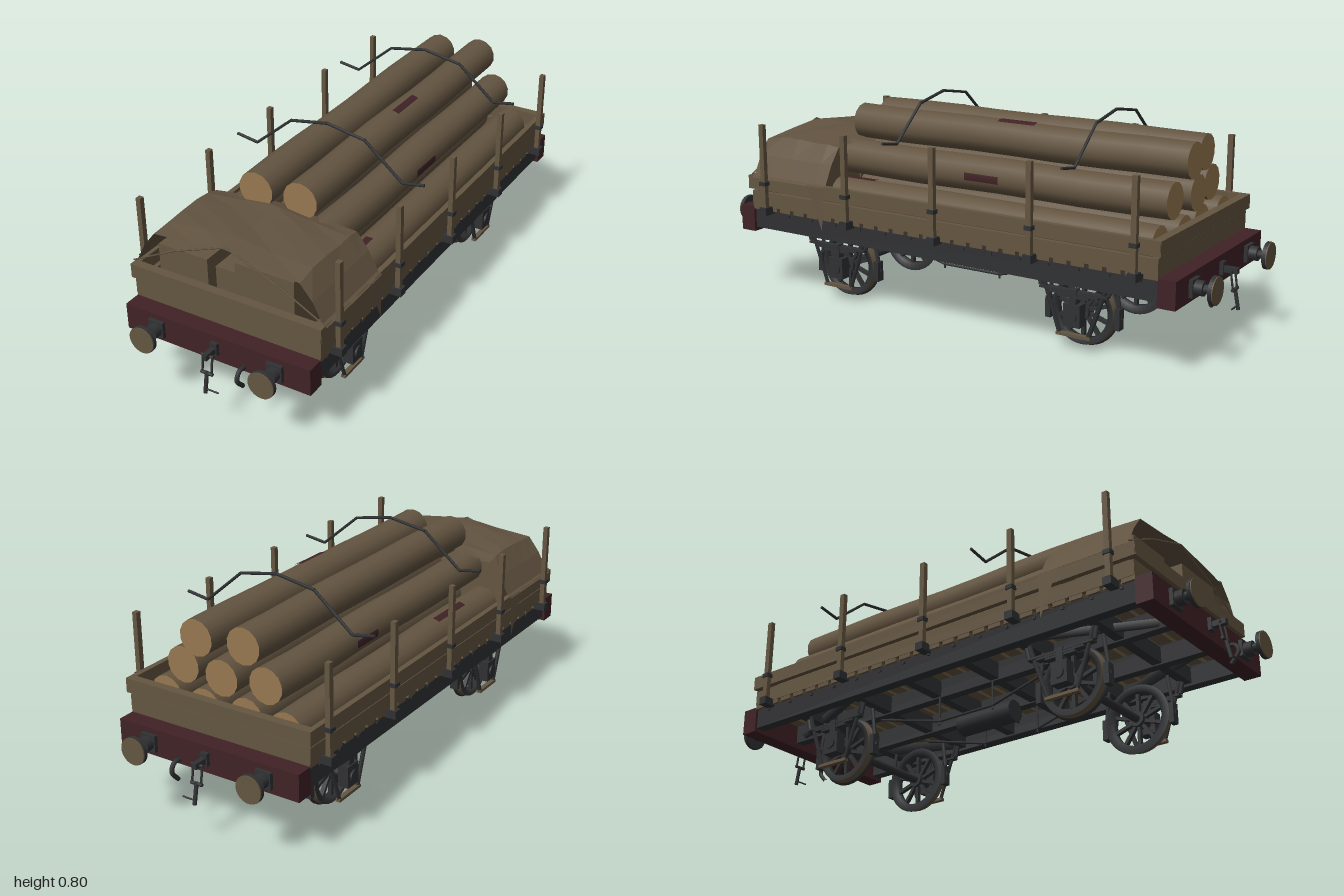
import * as THREE from 'three';

const mat = (name, color, opts = {}) => {
  const m = new THREE.MeshStandardMaterial({ color, ...opts });
  m.name = name;
  return m;
};

export function createModel() {
  const wood = mat('weatheredWood', 0x645541);
  const canvas = mat('canvas', 0x625340, { side: THREE.DoubleSide, flatShading: true });
  const iron = mat('darkIron', 0x303133);
  const red = mat('darkRed', 0x402226);
  const cut = mat('cutWood', 0x987850);
  const root = new THREE.Group();
  root.name = 'logWagon';

  const add = (name, geo, material, x = 0, y = 0, z = 0) => {
    const m = new THREE.Mesh(geo, material);
    m.name = name;
    m.position.set(x, y, z);
    root.add(m);
    return m;
  };
  // box given by its extents
  const box = (name, m, x0, x1, y0, y1, z0, z1) => add(name,
    new THREE.BoxGeometry(x1 - x0, y1 - y0, z1 - z0), m, (x0 + x1) / 2, (y0 + y1) / 2, (z0 + z1) / 2);
  // straight round bar between two points
  const rod = (name, m, a, b, r, sides = 8) => {
    const p = new THREE.Vector3(...a), q = new THREE.Vector3(...b);
    const d = q.clone().sub(p);
    const mesh = add(name, new THREE.CylinderGeometry(r, r, d.length(), sides), m);
    mesh.position.copy(p).add(q).multiplyScalar(0.5);
    mesh.quaternion.setFromUnitVectors(new THREE.Vector3(0, 1, 0), d.normalize());
    return mesh;
  };
  const sides = [1, -1];

  // floor of cross planks
  for (let i = 0; i < 26; i++) {
    const z = -0.825 + i * 0.066;
    box('floorPlank', wood, -0.36, 0.36, 0.335, 0.35, z - 0.025, z + 0.025);
  }

  // underframe
  for (const s of sides) {
    const sole = box('soleBar', iron, 0.31, 0.35, 0.26, 0.335, -0.855, 0.855);
    sole.position.x *= s;
    for (let i = 0; i < 15; i++) box('bolt', iron, s * 0.352 - 0.004, s * 0.352 + 0.004, 0.318, 0.328, -0.79 + i * 0.113, -0.78 + i * 0.113);
    box('longBeam', iron, s * 0.12 - 0.018, s * 0.12 + 0.018, 0.265, 0.335, -0.85, 0.85);
    // truss rod below the frame
    const truss = [[0.4, 0.25], [0.12, 0.175], [-0.12, 0.175], [-0.4, 0.25]];
    for (let i = 0; i < 3; i++) rod('trussRod', iron, [s * 0.135, truss[i][1], truss[i][0]], [s * 0.135, truss[i + 1][1], truss[i + 1][0]], 0.005);
    for (const e of sides) rod('trussPost', iron, [s * 0.135, 0.27, e * 0.12], [s * 0.135, 0.16, e * 0.12], 0.004);
    // diagonal braces from the corners
    for (const e of sides) rod('diagonalBrace', iron, [s * 0.3, 0.29, e * 0.4], [s * 0.12, 0.29, e * 0.82], 0.02, 4);
  }
  for (const z of [-0.65, -0.37, -0.13, 0.13, 0.37, 0.65]) box('crossBeam', iron, -0.31, 0.31, 0.27, 0.33, z - 0.018, z + 0.018);
  rod('brakeCylinder', iron, [0, 0.2, -0.12], [0, 0.2, 0.12], 0.041, 14);
  rod('brakeLever', iron, [0, 0.175, 0.1], [0.05, 0.175, 0.1], 0.004);

  // headstocks, buffers and couplings at both ends
  for (const e of sides) {
    box('headstock', red, -0.36, 0.36, 0.245, 0.342, e * 0.88 - 0.032, e * 0.88 + 0.032);
    for (const s of sides) {
      const x = s * 0.232, y = 0.293;
      box('bufferBase', iron, x - 0.03, x + 0.03, y - 0.03, y + 0.03, e * 0.918 - 0.008, e * 0.918 + 0.008);
      rod('bufferSleeve', iron, [x, y, e * 0.91], [x, y, e * 0.955], 0.026, 12);
      rod('bufferShaft', iron, [x, y, e * 0.95], [x, y, e * 0.99], 0.015, 10);
      rod('bufferHead', iron, [x, y, e * 0.983], [x, y, e * 0.996], 0.049, 24);
      rod('bufferFace', wood, [x, y, e * 0.995], [x, y, e], 0.048, 24);
    }
    // hook with screw coupling
    box('hookPlate', iron, -0.014, 0.014, 0.275, 0.32, e * 0.918 - 0.008, e * 0.918 + 0.008);
    box('drawHook', iron, -0.009, 0.009, 0.285, 0.305, e * 0.945 - 0.03, e * 0.945 + 0.03);
    for (const s of sides) rod('couplingLink', iron, [s * 0.018, 0.295, e * 0.955], [s * 0.018, 0.23, e * 0.965], 0.004);
    rod('couplingPin', iron, [-0.023, 0.293, e * 0.955], [0.023, 0.293, e * 0.955], 0.005);
    rod('couplingCross', iron, [-0.023, 0.23, e * 0.965], [0.023, 0.23, e * 0.965], 0.006);
    rod('couplingScrew', iron, [0, 0.235, e * 0.965], [0, 0.16, e * 0.98], 0.007);
    rod('couplingHandle', iron, [0, 0.175, e * 0.977], [0.05, 0.175, e * 0.977], 0.003);
    // air hose
    const hose = new THREE.CatmullRomCurve3([[0.11, 0.26, 0.905], [0.11, 0.262, 0.94], [0.11, 0.235, 0.955], [0.11, 0.195, 0.925]]
      .map(p => new THREE.Vector3(p[0], p[1], p[2] * e)));
    add('airHose', new THREE.TubeGeometry(hose, 12, 0.008, 8), iron);
  }

  // wheelsets with brakes, axle guards and boxes
  const V2 = (r, h) => new THREE.Vector2(r, h);
  const treadGeo = new THREE.LatheGeometry([V2(0.122, -0.006), V2(0.119, 0.016)], 36);
  const rimGeo = new THREE.LatheGeometry([V2(0.119, 0.016), V2(0.098, 0.016), V2(0.098, -0.016), V2(0.128, -0.016), V2(0.128, -0.011), V2(0.122, -0.006)], 36);
  for (const zc of [0.51, -0.505]) {
    rod('axle', iron, [-0.29, 0.13, zc], [0.29, 0.13, zc], 0.015, 12);
    for (const s of sides) {
      const wheel = new THREE.Group();
      wheel.name = 'wheel';
      wheel.position.set(s * 0.203, 0.13, zc);
      wheel.rotation.z = -s * Math.PI / 2;
      const put = (name, geo, m) => {
        const mesh = new THREE.Mesh(geo, m);
        mesh.name = name;
        wheel.add(mesh);
        return mesh;
      };
      put('wheelTread', treadGeo, wood);
      put('wheelRim', rimGeo, iron);
      put('wheelHub', new THREE.CylinderGeometry(0.028, 0.028, 0.042, 14), iron);
      for (let i = 0; i < 10; i++) {
        const a = i * Math.PI / 5;
        const spoke = put('spoke', new THREE.BoxGeometry(0.085, 0.016, 0.012), iron);
        spoke.position.set(Math.cos(a) * 0.06, 0, -Math.sin(a) * 0.06);
        spoke.rotation.y = a;
      }
      root.add(wheel);
      const x = s * 0.275;
      box('axleBox', iron, x - 0.02, x + 0.02, 0.095, 0.175, zc - 0.032, zc + 0.032);
      rod('axleBoxCap', iron, [s * 0.28, 0.133, zc], [s * 0.302, 0.133, zc], 0.022, 10);
      for (const e of sides) {
        rod('axleGuard', iron, [x, 0.275, zc + e * 0.13], [x, 0.06, zc + e * 0.055], 0.009, 4);
        rod('springHanger', iron, [x, 0.265, zc + e * 0.14], [x, 0.222, zc + e * 0.13], 0.008);
        box('brakeBlock', iron, s * 0.205 - 0.016, s * 0.205 + 0.016, 0.085, 0.16, zc + e * 0.134 - 0.01, zc + e * 0.134 + 0.01);
        rod('brakeHanger', iron, [s * 0.205, 0.27, zc + e * 0.12], [s * 0.205, 0.12, zc + e * 0.14], 0.007);
      }
      box('guardTie', wood, x - 0.009, x + 0.009, 0.055, 0.066, zc - 0.065, zc + 0.065);
      // leaf spring
      for (let i = 0; i < 3; i++) box('leafSpring', iron, x - 0.012, x + 0.012, 0.195 + i * 0.009, 0.203 + i * 0.009, zc - 0.06 - i * 0.035, zc + 0.06 + i * 0.035);
      box('springBuckle', iron, x - 0.015, x + 0.015, 0.17, 0.226, zc - 0.014, zc + 0.014);
    }
  }

  // side and end boards
  for (const s of sides) {
    box('lowerSideBoard', wood, s * 0.353 - 0.009, s * 0.353 + 0.009, 0.35, 0.406, -0.85, 0.85);
    box('upperSideBoard', wood, s * 0.36 - 0.01, s * 0.36 + 0.01, 0.416, 0.467, -0.86, 0.86);
    box('lowerEndBoard', wood, -0.358, 0.358, 0.35, 0.408, s * 0.838 - 0.012, s * 0.838 + 0.012);
    box('upperEndBoard', wood, -0.368, 0.368, 0.416, 0.467, s * 0.845 - 0.016, s * 0.845 + 0.016);
  }

  // stakes with iron brackets
  for (const s of sides) for (const z of [0.77, 0.385, 0, -0.39, -0.775]) {
    const x = s * 0.382;
    box('stake', wood, x - 0.009, x + 0.009, 0.335, 0.672, z - 0.01, z + 0.01);
    box('stakeFoot', iron, s * 0.373 - 0.026, s * 0.373 + 0.026, 0.326, 0.355, z - 0.016, z + 0.016);
    box('stakeClamp', iron, s * 0.382 - 0.014, s * 0.382 + 0.014, 0.439, 0.454, z - 0.014, z + 0.014);
  }

  // pyramid of logs, four then three then two
  const logs = [[-0.245, 0.418, -0.81, 0.5], [-0.08, 0.418, -0.8, 0.52], [0.08, 0.418, -0.81, 0.5], [0.245, 0.418, -0.8, 0.51],
    [-0.16, 0.545, -0.8, 0.53], [0, 0.543, -0.82, 0.5], [0.16, 0.545, -0.81, 0.52],
    [-0.085, 0.668, -0.81, 0.53], [0.08, 0.668, -0.84, 0.52]];
  logs.forEach(([x, y, z0, z1], k) => {
    const geo = new THREE.CylinderGeometry(0.066, 0.064, z1 - z0, 14, 8);
    const p = geo.attributes.position;
    for (let i = 0; i < p.count; i++) {
      const t = p.getY(i) * 7 + k * 2;
      p.setX(i, p.getX(i) + Math.sin(t) * 0.002);
      p.setZ(i, p.getZ(i) + Math.cos(t * 1.3) * 0.002);
    }
    geo.rotateX(Math.PI / 2);
    add('log', geo, [wood, cut, cut], x, y, (z0 + z1) / 2);
  });

  // bare reddish bark patches
  const patch = (x, y, z, len, angle, width) => {
    const geo = new THREE.CylinderGeometry(0.0685, 0.0685, len, 4, 1, true, angle - width / 2, width);
    geo.rotateX(Math.PI / 2);
    add('barkPatch', geo, red, x, y, z);
  };
  patch(0.08, 0.668, -0.17, 0.15, Math.PI - 0.28, 0.4);
  patch(-0.16, 0.545, -0.305, 0.13, -Math.PI / 2, 0.4);
  patch(0.16, 0.545, -0.1, 0.14, Math.PI / 2, 0.4);
  patch(0.245, 0.418, 0.42, 0.15, Math.PI, 0.4);
  patch(-0.245, 0.418, 0.2, 0.2, Math.PI + 0.3, 0.4);

  // bent binding bars over the load
  const bind = [[-0.38, 0.66], [-0.295, 0.646], [-0.148, 0.771], [0, 0.797], [0.148, 0.771], [0.295, 0.646], [0.38, 0.66]];
  for (const z of [0.212, -0.508]) for (let i = 0; i < 6; i++) rod('bindingBar', iron, [...bind[i], z], [...bind[i + 1], z], 0.0055, 6);

  // crates under the cover
  box('crate', wood, -0.285, -0.09, 0.35, 0.546, 0.6, 0.81);
  box('crate', wood, 0.022, 0.245, 0.35, 0.574, 0.6, 0.815);
  box('crate', wood, -0.08, 0.015, 0.35, 0.508, 0.6, 0.78);

  // canvas cover as an open arch
  const half = [[0, 0.636], [0.13, 0.626], [0.28, 0.61], [0.325, 0.54], [0.36, 0.472], [0.376, 0.462]];
  const prof = [...half.slice(1).reverse().map(([x, y]) => [-x, y]), ...half];
  const slices = [0.835, 0.76, 0.68, 0.6, 0.54, 0.49];
  const pos = [], idx = [], n = prof.length;
  slices.forEach((z, j) => prof.forEach(([x, y], i) => {
    const top = y > 0.6 ? 1 : 0;
    const edge = j === 5 ? 0.012 : j === 0 ? 0.008 : 0;
    pos.push(x, y - top * (edge + 0.004 * (1 + Math.sin(i * 2.1 + j * 1.7))), z);
    if (j && i) {
      const a = (j - 1) * n + i - 1, b = j * n + i - 1;
      idx.push(a, a + 1, b, a + 1, b + 1, b);
    }
  }));
  const cover = new THREE.BufferGeometry();
  cover.setAttribute('position', new THREE.Float32BufferAttribute(pos, 3));
  cover.setIndex(idx);
  cover.computeVertexNormals();
  add('canvasCover', cover, canvas);
  for (const s of sides) {
    // hanging corner of the cover and its tie ropes
    const flap = new THREE.BufferGeometry();
    flap.setAttribute('position', new THREE.Float32BufferAttribute(
      [s * 0.374, 0.465, 0.57, s * 0.378, 0.3, 0.5, s * 0.374, 0.465, 0.49], 3));
    flap.computeVertexNormals();
    add('coverCorner', flap, canvas);
    rod('coverRope', wood, [0, 0.632, 0.83], [s * 0.2, 0.558, 0.835], 0.003, 5);
    rod('coverRope', wood, [s * 0.2, 0.558, 0.835], [s * 0.37, 0.473, 0.84], 0.003, 5);
  }
  return root;
}
